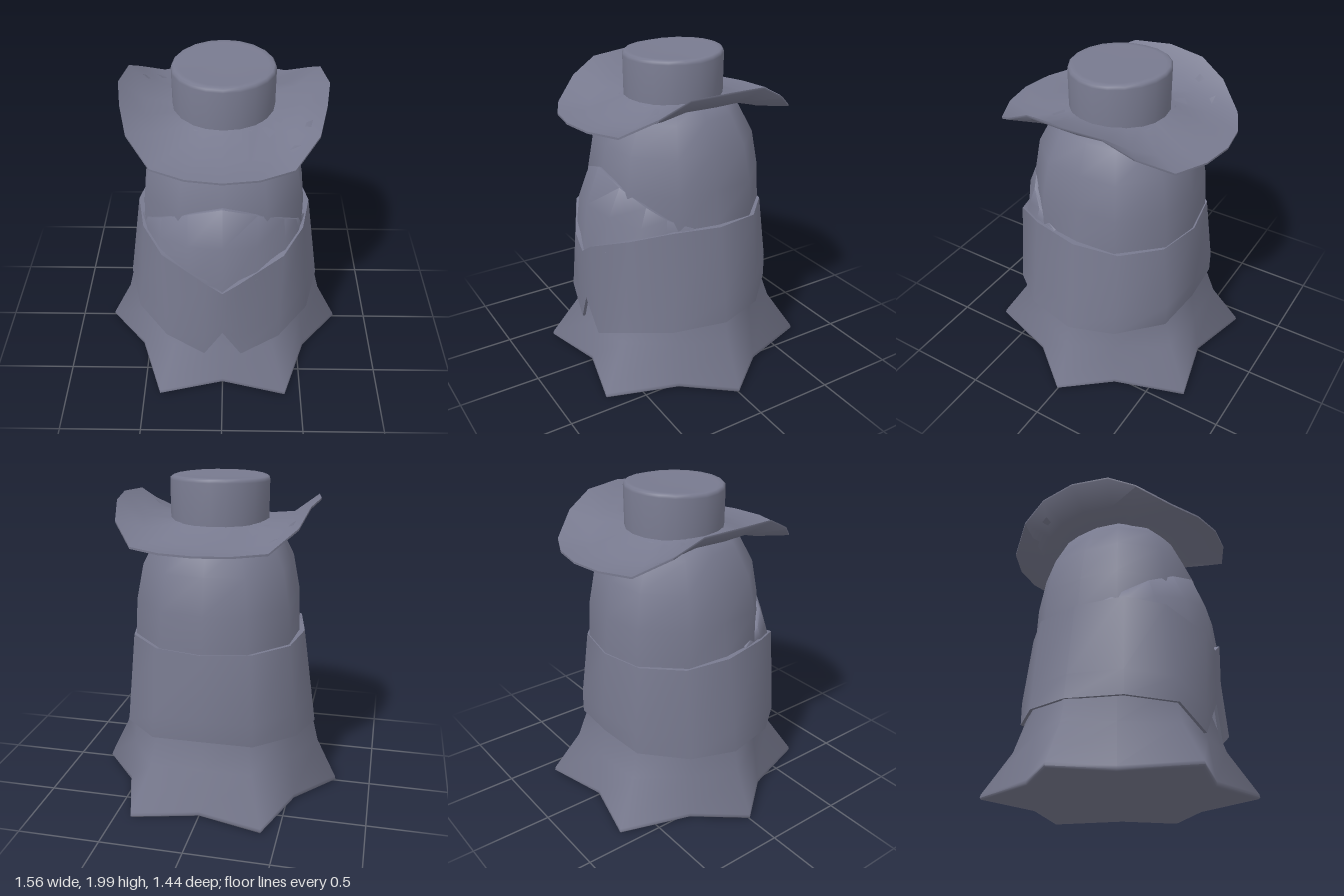
import * as THREE from 'three';
import { toCreasedNormals } from 'three/addons/utils/BufferGeometryUtils.js';

const material = new THREE.MeshStandardMaterial({ color: 0x787a8f, side: THREE.DoubleSide });
const V = (x, y, z) => new THREE.Vector3(x, y, z);

// Skin a stack of cross-sections, listed bottom to top, each running from +z towards +x
function loft(name, rings, closed, crease = 1.25) {
  const n = rings[0].length;
  const index = [];
  for (let i = 0; i < rings.length - 1; i++) {
    for (let j = 0; j < (closed ? n : n - 1); j++) {
      const k = (j + 1) % n;
      const a = i * n + j, b = i * n + k, c = a + n, d = b + n;
      index.push(a, b, d, a, d, c);
    }
  }
  const geometry = new THREE.BufferGeometry().setFromPoints(rings.flat());
  geometry.setIndex(index);
  const mesh = new THREE.Mesh(toCreasedNormals(geometry, crease), material);
  mesh.name = name;
  return mesh;
}

// Mirror half an outline (front centre round the +x side) to the -x side
function mirrorOpen(half) {
  const other = half.slice(1).reverse().map(([x, y, z]) => [-x, y, z]);
  return [...other, ...half].map((p) => V(...p));
}
function mirrorClosed(half) {
  const other = half.slice(1, -1).reverse().map(([x, y, z]) => [-x, y, z]);
  return [...half, ...other].map((p) => V(...p));
}
// Mirror a quarter outline (front centre to +x side) front to back and side to side
function mirrorQuarter(quarter) {
  const back = quarter.slice(0, -1).reverse().map(([x, y, z]) => [x, y, -z]);
  return mirrorClosed([...quarter, ...back]);
}
const mixRing = (a, b, t) => a.map((p, i) => p.clone().lerp(b[i], t));
const shrink = (ring, s) => ring.map((p) => V(p.x * s, p.y, p.z * s));

// Cloaked body: twelve-sided, flaring into a six-pointed hem
function makeBody() {
  const angles = [0, 29, 62, 90].map(THREE.MathUtils.degToRad);
  const profile = [ // y, then the radius at each angle from front to side
    [0.005, 0, 0, 0, 0], [0.005, 0.59, 0.79, 0.59, 0.75], [0.005, 0.61, 0.815, 0.605, 0.77],
    [0.015, 0.62, 0.825, 0.615, 0.78], [0.035, 0.615, 0.82, 0.61, 0.775],
    [0.29, 0.575, 0.645, 0.575, 0.65], [0.52, 0.53, 0.565, 0.55, 0.595],
    [1.05, 0.52, 0.54, 0.54, 0.505], [1.25, 0.505, 0.53, 0.53, 0.485],
    [1.47, 0.465, 0.49, 0.485, 0.445], [1.64, 0.385, 0.4, 0.395, 0.37],
    [1.72, 0.32, 0.325, 0.32, 0.305], [1.72, 0, 0, 0, 0],
  ];
  const rings = profile.map(([y, ...radii]) => mirrorQuarter(
    radii.map((r, j) => [r * Math.sin(angles[j]), y, r * Math.cos(angles[j])]),
  ));
  return loft('cloakBody', rings, true, 1.5);
}

// Wrap around the middle, with a V neck and a notched front
function makeVest() {
  const top = mirrorClosed([
    [0, 0.82, 0.65], [0.1, 0.89, 0.64], [0.36, 1.0, 0.51], [0.485, 1.05, 0.3],
    [0.54, 1.04, 0], [0.485, 1.03, -0.28], [0.285, 1.025, -0.475], [0, 1.02, -0.53],
  ]);
  const bottom = mirrorClosed([
    [0, 0.485, 0.64], [0.115, 0.28, 0.62], [0.35, 0.395, 0.57], [0.54, 0.42, 0.33],
    [0.625, 0.43, 0], [0.54, 0.445, -0.285], [0.31, 0.46, -0.52], [0, 0.475, -0.55],
  ]);
  const middle = mixRing(bottom, top, 0.25);
  middle.forEach((p) => { if (p.z < -0.4) p.z -= 0.015; });
  return loft('vest', [shrink(bottom, 0.97), bottom, middle, top, shrink(top, 0.93)], true);
}

// Scarf bulging over the chest
function makeScarf() {
  const top = mirrorOpen([[0, 1.34, 0.52], [0.2, 1.275, 0.485], [0.36, 1.19, 0.4], [0.44, 1.12, 0.31], [0.5, 1.05, 0.16]]);
  const middle = mirrorOpen([[0, 1.12, 0.605], [0.2, 1.1, 0.56], [0.37, 1.07, 0.44], [0.455, 1.06, 0.32], [0.505, 1.04, 0.16]]);
  const bottom = mirrorOpen([[0, 0.78, 0.642], [0.2, 0.88, 0.59], [0.37, 0.97, 0.48], [0.46, 1.01, 0.33], [0.51, 1.02, 0.16]]);
  return loft('scarf', [bottom, middle, top, shrink(top, 0.96)], false);
}

// Brim rolled up at the sides and dipping at the front and back
function makeBrim() {
  const edge = mirrorQuarter([
    [0, 1.65, 0.7], [0.2, 1.65, 0.67], [0.39, 1.655, 0.58],
    [0.53, 1.765, 0.41], [0.575, 1.855, 0.24], [0.61, 1.87, 0],
  ]);
  const inner = edge.map((p) => {
    const r = 0.28 / Math.hypot(p.x, p.z);
    return V(p.x * r, 1.735, p.z * r);
  });
  const middle = mixRing(inner, edge, 0.55);
  middle.forEach((p, i) => {
    p.y = THREE.MathUtils.mapLinear(edge[i].y, 1.65, 1.87, 1.652, 1.76);
  });
  const lower = (ring) => ring.map((p) => V(p.x, p.y - 0.012, p.z));
  return loft('hatBrim', [lower(inner), lower(middle), lower(edge), edge, middle, inner], true);
}

// Low round crown with a narrow softened rim, rising a little at the back
function makeCrown() {
  const profile = [[0.3, 1.69], [0.302, 1.96], [0.299, 1.975], [0.288, 1.984], [0.26, 1.984], [0, 1.976]];
  const rings = profile.map(([r, y]) => Array.from({ length: 20 }, (_, j) => {
    const a = (j * Math.PI) / 10;
    const z = r * Math.cos(a);
    return V(r * Math.sin(a), y + (y > 1.9 ? Math.max(0, -z) * 0.055 : 0), z);
  }));
  return loft('hatCrown', rings, true);
}

export function createModel() {
  const model = new THREE.Group();
  model.name = 'cloakedFigure';
  const hat = new THREE.Group();
  hat.name = 'hat';
  hat.add(makeBrim(), makeCrown());
  model.add(makeBody(), makeVest(), makeScarf(), hat);
  return model;
}
